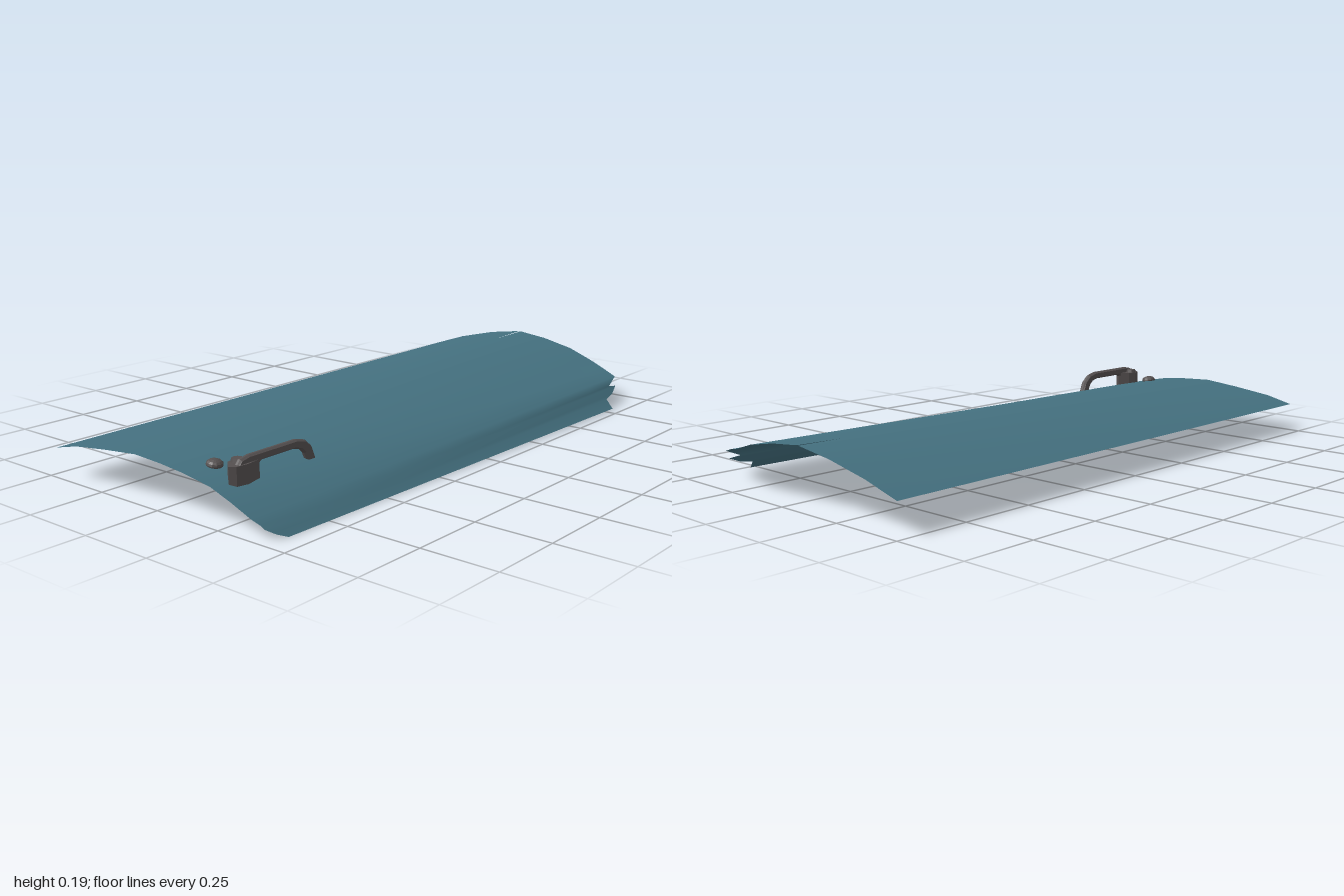
import * as THREE from 'three';

const paint = new THREE.MeshStandardMaterial({ color: 0x44707f, side: THREE.DoubleSide });
const metal = new THREE.MeshStandardMaterial({ color: 0x555050, flatShading: true });

// Each row runs along the panel: left end xyz, right end xyz
const ROWS = [
  [-1, 0.1, -0.46, 0.975, 0.1, -0.475],
  [-1, 0.123, -0.36, 0.985, 0.14, -0.36],
  [-1, 0.14, -0.22, 0.995, 0.175, -0.22],
  [-1, 0.153, -0.085, 1, 0.195, -0.085], // ridge, split by a slit at one end
  [-1, 0.148, 0.02, 0.998, 0.183, 0.035],
  [-1, 0.139, 0.12, 0.99, 0.16, 0.16],
  [-0.995, 0.12, 0.22, 0.975, 0.13, 0.26],
  [-0.99, 0.09, 0.295, 0.945, 0.115, 0.33],
  [-0.98, 0.055, 0.36, 0.92, 0.095, 0.4],
  [-0.97, 0.04, 0.385, 0.86, 0.07, 0.41], // torn corner
  [-0.965, 0.03, 0.395, 0.9, 0.065, 0.415],
  [-0.95, 0.02, 0.41, 0.85, 0.045, 0.43],
  [-0.94, 0.014, 0.415, 0.8, 0.035, 0.435],
  [-0.91, 0.002, 0.43, 0.785, 0.008, 0.47],
];
const RIDGE = 3;
const COLS = [0, 0.15, 0.3, 0.45, 0.6, 0.75, 0.915, 1];

function panelGeometry() {
  const rows = [];
  ROWS.forEach((r, i) => {
    if (i === RIDGE) rows.push([r, -0.004], [r, 0.004]);
    else rows.push([r, 0]);
  });
  const n = COLS.length, pos = [], index = [];
  for (const [r, gap] of rows) {
    COLS.forEach((t, c) => {
      const p = [0, 1, 2].map((k) => r[k] + (r[k + 3] - r[k]) * t);
      if (c === n - 1) p[2] += gap;
      pos.push(...p);
    });
  }
  for (let j = 0; j < rows.length - 1; j++) {
    if (j === RIDGE) continue;
    for (let c = 0; c < n - 1; c++) {
      const a = j * n + c, b = a + n;
      index.push(a, b, b + 1, a, b + 1, a + 1);
    }
  }
  const g = new THREE.BufferGeometry();
  g.setAttribute('position', new THREE.Float32BufferAttribute(pos, 3));
  g.setIndex(index);
  g.computeVertexNormals();
  // Share normals across the doubled ridge row
  const nor = g.attributes.normal, u = new THREE.Vector3(), v = new THREE.Vector3();
  for (let c = 0; c < n; c++) {
    const a = RIDGE * n + c, b = a + n;
    u.fromBufferAttribute(nor, a).add(v.fromBufferAttribute(nor, b)).normalize();
    nor.setXYZ(a, u.x, u.y, u.z);
    nor.setXYZ(b, u.x, u.y, u.z);
  }
  return g;
}

const shape = (pts) => new THREE.Shape(pts.map(([x, y]) => new THREE.Vector2(x, y)));

function add(parent, name, geometry, material, x = 0, y = 0, z = 0) {
  const m = new THREE.Mesh(geometry, material);
  m.name = name;
  m.position.set(x, y, z);
  parent.add(m);
  return m;
}

function handle() {
  const g = new THREE.Group();
  g.name = 'handle';

  // Grip: level bar that bends down through the panel
  const grip = new THREE.ExtrudeGeometry(shape([
    [-0.92, 0.155], [-0.9, 0.175], [-0.87, 0.181], [-0.68, 0.181], [-0.645, 0.172], [-0.62, 0.15],
    [-0.605, 0.112], [-0.63, 0.112], [-0.642, 0.14], [-0.66, 0.157], [-0.69, 0.165], [-0.82, 0.165], [-0.84, 0.155],
  ]), { depth: 0.008, bevelEnabled: true, bevelThickness: 0.007, bevelSize: 0.005, bevelSegments: 1 });
  add(g, 'grip', grip, metal, 0, 0, 0.235);

  // Mount: pointed oval block passing through the panel
  const mount = new THREE.ExtrudeGeometry(shape([
    [-0.94, -0.235], [-0.925, -0.252], [-0.885, -0.257], [-0.835, -0.25], [-0.83, -0.235],
    [-0.86, -0.205], [-0.885, -0.193], [-0.91, -0.2],
  ]), { depth: 0.096, bevelEnabled: false });
  add(g, 'handleMount', mount, metal, 0, 0.07, 0).rotation.x = -Math.PI / 2;

  // Boss on top of the mount
  add(g, 'handleBoss', new THREE.CylinderGeometry(0.017, 0.022, 0.02, 8), metal, -0.888, 0.167, 0.217);
  return g;
}

export function createModel() {
  const model = new THREE.Group();
  model.name = 'doorPanel';
  add(model, 'panelSkin', panelGeometry(), paint);
  model.add(handle());
  // Lock button set into the panel
  const lock = add(model, 'lockButton', new THREE.SphereGeometry(0.026, 12, 8), metal, -0.893, 0.142, 0.13);
  lock.scale.y = 0.6;
  lock.rotation.x = 0.15;
  return model;
}
